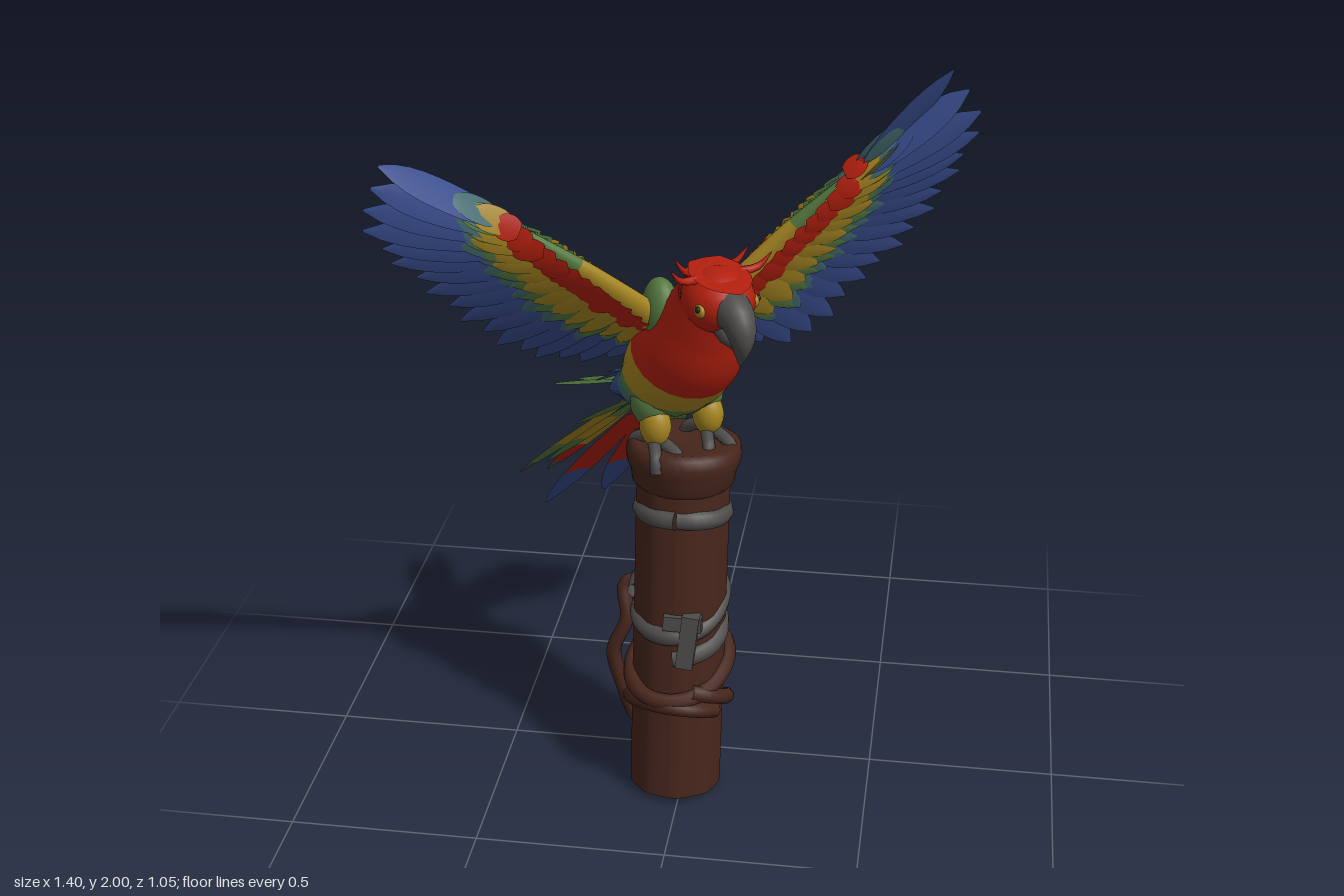
import * as THREE from 'three';
import { mergeGeometries } from 'three/addons/utils/BufferGeometryUtils.js';

const V = (x, y, z) => new THREE.Vector3(x, y, z);
const curve = (pts) => new THREE.CatmullRomCurve3(pts.map((p) => V(...p)));
const mat = (name, color) => new THREE.MeshStandardMaterial({ name, color, side: THREE.DoubleSide });

export function createModel() {
  const M = {
    red: mat('red', 0xb21f0e), yellow: mat('yellow', 0xa58521), green: mat('green', 0x54783f),
    teal: mat('teal', 0x42696e), blue: mat('blue', 0x384c8c), brown: mat('brown', 0x47261c),
    grey: mat('grey', 0x4e4c4b), dark: mat('dark', 0x201c1c),
  };
  const root = new THREE.Group();
  root.name = 'parrotOnPost';
  const add = (parent, name, geo, material, pos, scale) => {
    const m = new THREE.Mesh(geo, material);
    m.name = name;
    if (pos) m.position.set(...pos);
    if (scale) m.scale.set(...scale);
    parent.add(m);
    return m;
  };
  const ball = (parent, name, material, pos, scale) =>
    add(parent, name, new THREE.SphereGeometry(1, 20, 14), material, pos, scale);

  // Skin over elliptical rings; each station is [x, y, z, rx, ry]; skew tilts the rings
  function loft(st, up, t0 = 0, t1 = 1, skew = 0, rows = 14, sides = 22) {
    const path = curve(st);
    const radii = new THREE.CatmullRomCurve3(st.map((s, i) => V(s[3], s[4], i * 0.001)));
    const pos = [], idx = [];
    for (let i = 0; i <= rows; i++) {
      for (let j = 0; j < sides; j++) {
        const a = j / sides * Math.PI * 2;
        const t = t0 + (t1 - t0) * i / rows;
        const k = THREE.MathUtils.clamp(t - skew * Math.sin(a) * Math.min(1, t * 4, (1 - t) * 4), 0, 1);
        const c = path.getPoint(k), r = radii.getPoint(k), d = path.getTangent(k);
        const A = up.clone().addScaledVector(d, -up.dot(d)).normalize();
        const B = d.clone().cross(A);
        c.addScaledVector(A, Math.cos(a) * r.x).addScaledVector(B, Math.sin(a) * r.y);
        pos.push(c.x, c.y, c.z);
        if (i < rows) {
          const p = i * sides + j, n = i * sides + (j + 1) % sides;
          idx.push(p, n, p + sides, n, n + sides, p + sides);
        }
      }
    }
    return build(pos, idx);
  }
  function build(pos, idx) {
    const g = new THREE.BufferGeometry();
    g.setAttribute('position', new THREE.Float32BufferAttribute(pos, 3));
    g.setIndex(idx);
    g.computeVertexNormals();
    return g;
  }

  // One blunt feather with a raised quill line; cuts are rows where the colour changes
  const outline = [0.6, 0.8, 0.95, 1, 1, 0.96, 0.82, 0.55, 0.08];
  function feather(base, tip, half, normal, cuts = []) {
    const dir = tip.clone().sub(base).normalize();
    const side = normal.clone().cross(dir).normalize();
    const pos = [], idx = [], last = outline.length - 1;
    outline.forEach((w, i) => {
      const c = base.clone().lerp(tip, i / last);
      for (const s of [-1, 0, 1]) {
        const p = c.clone().addScaledVector(side, s * w * half);
        if (s === 0) p.addScaledVector(normal, 0.005 * w);
        pos.push(p.x, p.y, p.z);
      }
      if (i < last) for (const k of [i * 3, i * 3 + 1]) idx.push(k, k + 1, k + 3, k + 1, k + 4, k + 3);
    });
    const g = build(pos, idx);
    const stops = [0, ...cuts, last];
    if (cuts.length) for (let i = 0; i + 1 < stops.length; i++) g.addGroup(stops[i] * 12, (stops[i + 1] - stops[i]) * 12, i);
    return g;
  }

  // ---- Post, leaning slightly back ----
  const post = new THREE.Group();
  post.name = 'post';
  post.position.set(-0.022, 0.011, 0.16);
  post.quaternion.setFromUnitVectors(V(0, 1, 0), V(0.016, 1, -0.08).normalize());
  root.add(post);
  const trunk = new THREE.CylinderGeometry(0.121, 0.121, 0.95, 40, 8);
  const tp = trunk.attributes.position;
  for (let i = 0; i < tp.count; i++) {
    const a = Math.atan2(tp.getX(i), tp.getZ(i)), k = 1 + 0.015 * Math.sin(a * 9);
    tp.setX(i, tp.getX(i) * k);
    tp.setZ(i, tp.getZ(i) * k);
  }
  trunk.computeVertexNormals();
  add(post, 'trunk', trunk, M.brown, [0, 0.475, 0]);
  const rim = [[0.118, 0.875], [0.133, 0.89], [0.138, 0.925], [0.146, 0.94], [0.15, 0.965], [0.145, 0.99], [0.13, 1], [0.1, 0.995], [0.001, 0.985]];
  add(post, 'postCap', new THREE.LatheGeometry(rim.map((p) => new THREE.Vector2(...p)), 32), M.brown);
  // Wrappings: height changes by turns plus a tilt toward the front
  function coil(name, material, y0, y1, turns, a0, R, r, tilt) {
    const pts = [], n = Math.ceil(turns * 16);
    for (let i = 0; i <= n; i++) {
      const a = a0 + i / n * turns * Math.PI * 2;
      const k = R + 0.006 * Math.sin(i * 0.9);
      pts.push([k * Math.sin(a), y0 + (y1 - y0) * i / n + tilt * Math.cos(a), k * Math.cos(a)]);
    }
    add(post, name, new THREE.TubeGeometry(curve(pts), n * 3, r, 8), material);
  }
  coil('upperStrap', M.grey, 0.805, 0.805, 1, 0, 0.11, 0.027, 0.012);
  coil('lowerStrap', M.grey, 0.46, 0.58, 1.8, 0, 0.111, 0.026, -0.04);
  coil('vine', M.brown, 0.33, 0.38, 1.15, 2.6, 0.13, 0.022, -0.055);
  coil('vineLower', M.brown, 0.27, 0.22, 1.1, 0.4, 0.13, 0.022, 0.06);
  const knot = add(post, 'strapKnot', new THREE.BoxGeometry(0.045, 0.15, 0.04), M.grey, [0.04, 0.48, 0.122]);
  knot.rotation.z = -0.1;
  add(post, 'strapKnotBar', new THREE.BoxGeometry(0.1, 0.04, 0.03), M.grey, [0.025, 0.53, 0.122]);
  const loop = curve([[-0.1, 0.58, -0.03], [-0.15, 0.56, -0.02], [-0.14, 0.47, 0], [-0.175, 0.37, 0], [-0.15, 0.26, -0.01], [-0.12, 0.16, -0.03]]);
  add(post, 'vineLoop', new THREE.TubeGeometry(loop, 30, 0.02, 8), M.brown);

  // ---- Bird, turned toward its left ----
  const bird = new THREE.Group();
  bird.name = 'bird';
  bird.position.set(-0.05, 0, 0.04);
  bird.rotation.y = 0.611;
  root.add(bird);
  const X = V(1, 0, 0);
  const spine = [[0, 1.47, 0.24, 0.088, 0.085], [0, 1.39, 0.19, 0.108, 0.11], [0, 1.31, 0.14, 0.13, 0.13], [0, 1.25, 0.08, 0.14, 0.136],
    [0, 1.18, 0.01, 0.132, 0.122], [0, 1.12, -0.08, 0.105, 0.09], [0, 1.07, -0.18, 0.072, 0.055], [0, 1.0, -0.31, 0.03, 0.02]];
  [['breast', 'red', 0, 2.85], ['waist', 'yellow', 2.85, 4], ['belly', 'green', 4, 4.45], ['flank', 'teal', 4.45, 5.3], ['rump', 'blue', 5.3, 7]]
    .forEach(([name, c, a, b]) => add(bird, name, loft(spine, X, a / 7, b / 7, 0.06), M[c]));

  // Head, hooked beak, eyes and wispy crest
  ball(bird, 'head', M.red, [0, 1.472, 0.262], [0.09, 0.08, 0.098]);
  add(bird, 'upperBeak', loft([[0, 1.47, 0.32, 0.05, 0.055], [0, 1.46, 0.36, 0.043, 0.045], [0, 1.425, 0.383, 0.034, 0.038], [0, 1.385, 0.383, 0.02, 0.025], [0, 1.34, 0.375, 0.001, 0.001]], X), M.grey);
  add(bird, 'lowerBeak', loft([[0, 1.43, 0.3, 0.042, 0.036], [0, 1.4, 0.34, 0.032, 0.028], [0, 1.37, 0.358, 0.001, 0.001]], X), M.grey);
  add(bird, 'brow', feather(V(0, 1.55, 0.19), V(0, 1.525, 0.375), 0.07, V(0, 1, 0)), M.red);
  for (const s of [-1, 1]) {
    ball(bird, 'cheek', M.yellow, [s * 0.072, 1.472, 0.308], [0.011, 0.018, 0.02]);
    ball(bird, 'eye', M.dark, [s * 0.08, 1.478, 0.314], [0.007, 0.008, 0.008]);
    [[0.135, 1.575, 0.27], [0.1, 1.58, 0.22]].forEach(([x, y, z]) =>
      add(bird, 'crestWisp', loft([[s * 0.05, 1.53, z - 0.01, 0.016, 0.012], [s * (x - 0.03), 1.54, z, 0.01, 0.008], [s * x, y, z + 0.01, 0.001, 0.001]], V(0, 0, 1), 0, 1, 0, 6, 8), M.red));
    ball(bird, 'shoulder', M.green, [s * 0.078, 1.4, 0.11], [0.045, 0.085, 0.06]);

    // Legs and toes
    ball(bird, 'thigh', M.green, [s * 0.07, 1.12, 0.04], [0.055, 0.07, 0.06]);
    ball(bird, 'shin', M.yellow, [s * 0.075, 1.067, 0.068], [0.04, 0.058, 0.046]);
    for (const [dx, dz] of [[-0.03, 0.08], [0.03, 0.08], [0.025, -0.06], [-0.025, -0.06]]) {
      const toe = curve([[s * 0.075, 1.03, 0.055], [s * 0.075 + dx * 0.6, 1.018, 0.055 + dz * 0.6], [s * 0.075 + dx, 1.0, 0.055 + dz], [s * 0.075 + dx * 1.1, 0.97, 0.055 + dz * 1.1]]);
      add(bird, 'toe', new THREE.TubeGeometry(toe, 10, 0.017, 7), M.grey);
    }

    // Tail: base [x, y, z], tip [x, y, z], half width, colours, rows where they change
    [
      [[0.025, 1.07, -0.2], [0.04, 0.87, -0.66], 0.042, ['green'], []],
      [[0.03, 1.0, -0.14], [0.092, 0.51, -0.63], 0.048, ['red', 'blue'], [5]],
      [[0.04, 1.03, -0.17], [0.215, 0.69, -0.52], 0.036, ['yellow', 'green', 'grey'], [5, 7]],
      [[0.035, 1.01, -0.17], [0.13, 0.68, -0.52], 0.038, ['yellow', 'red', 'grey'], [5, 7]],
      [[0.05, 1.04, -0.12], [0.2, 0.8, -0.35], 0.036, ['green', 'yellow', 'green'], [2, 5]],
      [[0.05, 1.08, -0.08], [0.14, 0.93, -0.28], 0.038, ['green'], []],
    ].forEach(([b, t, w, cols, cuts]) => {
      const geo = feather(V(s * b[0], b[1], b[2]), V(s * t[0], t[1], t[2]), w, V(0, 0.85, -0.5), cuts);
      add(bird, 'tailFeather', geo, cols.length > 1 ? cols.map((c) => M[c]) : M[cols[0]]);
    });
  }
  for (const x of [-0.04, 0, 0.04])
    add(bird, 'rumpFeather', feather(V(x, 1.12, -0.16), V(x * 1.3, 1.02, -0.37 + Math.abs(x)), 0.035, V(0, 0.85, -0.5)), M.blue);

  // ---- Wings: rows of feathers from the arm line out to the tip line ----
  const forward = V(0.57, 0, 0.82);
  // name, colour, from, to, count, half width, lift off the wing (+ is front), span start, span end
  const rows = [
    ['flightFeathers', 'blue', 0.08, 1, 18, 0.041, 0, 0, 1],
    ['innerFlightFeathers', 'blue', 0.08, 0.8, 18, 0.038, -0.006, 0, 0.95],
    ['frontTealCoverts', 'teal', 0.05, 0.67, 15, 0.036, 0.008, 0, 1],
    ['frontGreenCoverts', 'green', 0.03, 0.59, 15, 0.034, 0.013, 0, 0.96],
    ['frontYellowCoverts', 'yellow', 0, 0.52, 14, 0.033, 0.019, 0, 0.97],
    ['frontRedCoverts', 'red', -0.03, 0.24, 12, 0.032, 0.028, 0.05, 0.95],
    ['backTealCoverts', 'teal', 0, 0.7, 16, 0.036, -0.012, 0, 1],
    ['backGreenCoverts', 'green', 0, 0.6, 15, 0.036, -0.018, 0, 0.92],
    ['backShoulderCoverts', 'green', -0.03, 0.4, 12, 0.032, -0.025, 0, 0.8],
    ['backYellowCoverts', 'yellow', -0.03, 0.22, 6, 0.028, -0.031, 0.4, 0.68],
    ['backRedCoverts', 'red', -0.03, 0.22, 5, 0.028, -0.033, 0.15, 0.38],
  ];
  function wing(name, armPts, tipPts) {
    const g = new THREE.Group();
    g.name = name;
    root.add(g);
    const arm = curve(armPts), edge = curve(tipPts);
    const normalAt = (u) => {
      const n = arm.getTangentAt(u).cross(edge.getPointAt(u).sub(arm.getPointAt(u))).normalize();
      return n.dot(forward) < 0 ? n.negate() : n;
    };
    for (const [label, color, v0, v1, count, half, lift, u0, u1] of rows) {
      const parts = [];
      for (let i = 0; i < count; i++) {
        const u = u0 + (u1 - u0) * i / (count - 1);
        const a = arm.getPointAt(u), e = edge.getPointAt(u), n = normalAt(u);
        const reach = v1 === 1 ? 1 - 0.05 * (i % 2) * (u < 0.8 ? 1 : 0) : v1 * (1 - 0.36 * u) + 0.02 * Math.sin(i * 2.3);
        const stagger = 0.0015 * (i % 2);
        const base = a.clone().lerp(e, v0).addScaledVector(n, lift + stagger);
        const tip = a.clone().lerp(e, reach).addScaledVector(n, lift * 0.6 + stagger);
        parts.push(feather(base, tip, half, n));
      }
      add(g, label, mergeGeometries(parts), M[color]);
    }
    const thick = [0.04, 0.03, 0.014];
    const stations = armPts.map((p, i) => [...p, thick[i] * 0.7, thick[i]]);
    add(g, 'upperArm', loft(stations, normalAt(0.5), 0, 0.55), M.yellow);
    add(g, 'foreArm', loft(stations, normalAt(0.5), 0.55, 1), M.green);
  }
  wing('leftWing',
    [[0.08, 1.38, 0.065], [0.25, 1.57, 0.045], [0.42, 1.74, 0.035]],
    [[0.1, 1.18, -0.14], [0.28, 1.19, -0.18], [0.42, 1.36, -0.175], [0.54, 1.5, -0.15], [0.64, 1.68, -0.09], [0.695, 1.88, 0.01], [0.625, 2, 0.06]]);
  wing('rightWing',
    [[-0.07, 1.38, 0.18], [-0.22, 1.535, 0.285], [-0.39, 1.68, 0.365]],
    [[-0.15, 1.19, 0], [-0.3, 1.18, 0.03], [-0.44, 1.26, 0.16], [-0.53, 1.37, 0.25], [-0.63, 1.53, 0.36], [-0.7, 1.68, 0.46], [-0.635, 1.86, 0.52]]);
  return root;
}
